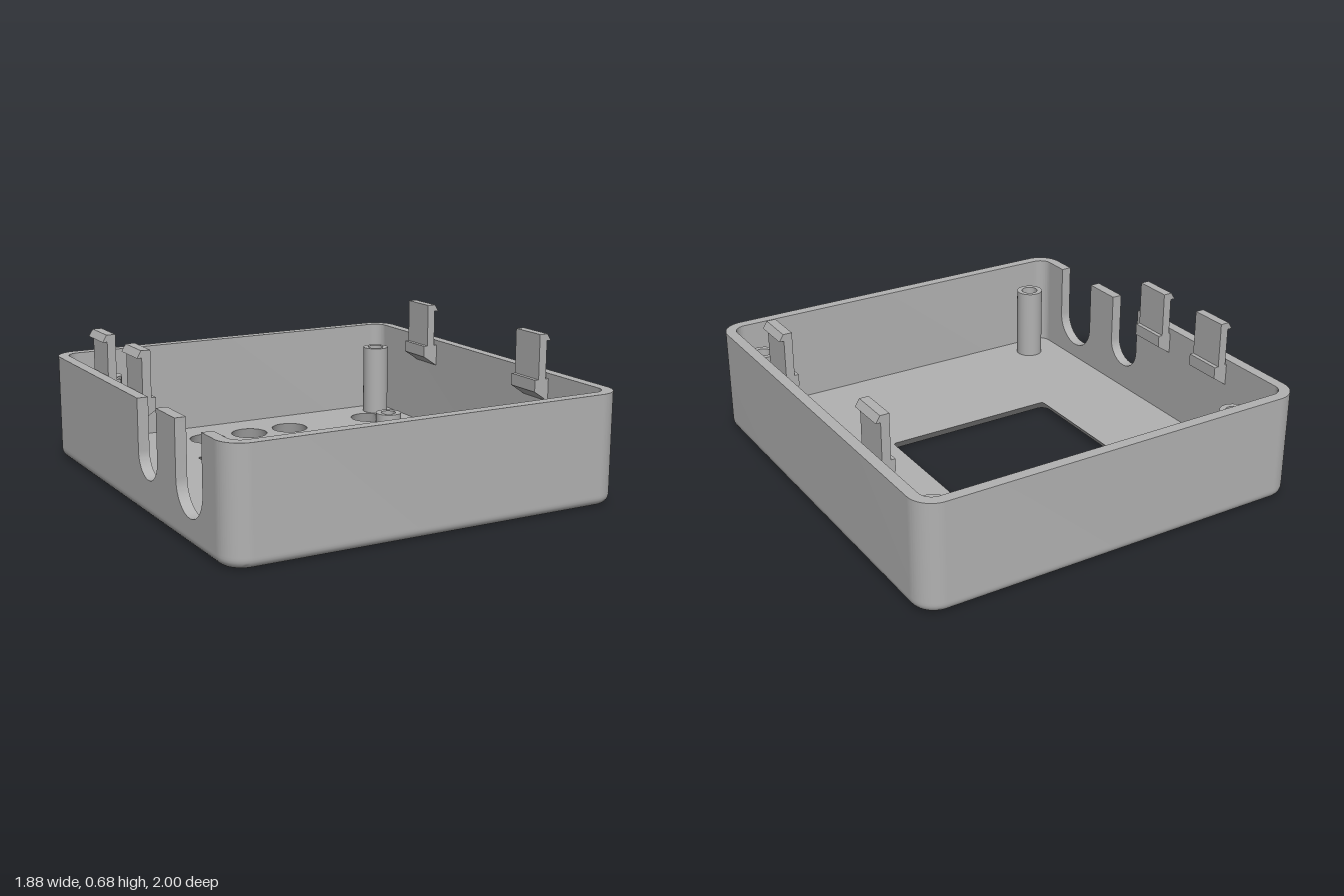
import * as THREE from 'three';
import { toCreasedNormals, mergeGeometries } from 'three/addons/utils/BufferGeometryUtils.js';

const HX = 0.94, HZ = 1, R = 0.11, WALL = 0.05, FLOOR = 0.05, TOP = 0.5;

// rounded rectangle outline in (x, z)
function roundRect(hx, hz, r, cx = 0, cz = 0, n = 10) {
  const pts = [];
  [[1, 1], [-1, 1], [-1, -1], [1, -1]].forEach(([sx, sz], k) => {
    for (let i = 0; i <= n; i++) {
      const a = (k + i / n) * Math.PI / 2;
      pts.push(new THREE.Vector2(cx + sx * (hx - r) + r * Math.cos(a), cz + sz * (hz - r) + r * Math.sin(a)));
    }
  });
  return pts;
}

// circle outline, optionally cut flat at xMax
function circle(cx, cz, r, xMax = 9, n = 40) {
  return Array.from({ length: n }, (_, i) => {
    const a = i / n * Math.PI * 2;
    return new THREE.Vector2(Math.min(cx + r * Math.cos(a), xMax), cz + r * Math.sin(a));
  });
}

// skin between outlines at given heights; rising heights face outward
function loft(loops) {
  const pos = [], idx = [], n = loops[0].pts.length;
  loops.forEach(({ pts, y }) => pts.forEach(p => pos.push(p.x, y, p.y)));
  for (let k = 0; k + 1 < loops.length; k++) for (let i = 0; i < n; i++) {
    const a = k * n + i, b = k * n + (i + 1) % n;
    idx.push(a, a + n, b, b, a + n, b + n);
  }
  const g = new THREE.BufferGeometry();
  g.setAttribute('position', new THREE.Float32BufferAttribute(pos, 3));
  g.setIndex(idx);
  return toCreasedNormals(g, 0.6);
}

// flat sheet with holes, facing up or down
function sheet(outline, holes, y, up) {
  const s = new THREE.Shape(outline);
  s.holes = holes.map(h => new THREE.Path(h));
  const g = new THREE.ShapeGeometry(s).rotateX(Math.PI / 2).translate(0, y, 0);
  if (up) g.index.array.reverse();
  const flat = g.toNonIndexed();
  flat.deleteAttribute('uv');
  flat.computeVertexNormals();
  return flat;
}

function extrude(shape, depth) {
  return toCreasedNormals(new THREE.ExtrudeGeometry(shape, { depth, bevelEnabled: false, curveSegments: 20 }), 0.6);
}

export function createModel() {
  const model = new THREE.Group();
  const grey = new THREE.MeshStandardMaterial({ color: 0xb2b2b2 });
  grey.name = 'grey plastic';
  const add = (name, geo) => {
    const m = new THREE.Mesh(geo, grey);
    m.name = name;
    model.add(m);
    return m;
  };

  // openings in the floor: outline above and wider outline below
  const openings = [{
    top: roundRect(0.42, 0.337, 0.015, -0.02, -0.072, 4),
    low: roundRect(0.46, 0.377, 0.045, -0.02, -0.072, 4),
  }];
  [[-0.25, -0.71], [-0.02, -0.71], [0.21, -0.71], [0.68, -0.71], [0.68, -0.305], [0.68, -0.07]].forEach(([x, z]) =>
    openings.push({ top: circle(x, z, 0.09, 0.75), low: circle(x, z, 0.106) }));
  openings.push({ top: circle(0.68, -0.505, 0.037), low: circle(0.68, -0.505, 0.037) });

  // floor with rounded lower edge
  const skirt = [];
  const F = 0.04;
  for (let i = 0; i <= 6; i++) {
    const a = i / 6 * Math.PI / 2, inset = F * (1 - Math.sin(a));
    skirt.push({ pts: roundRect(HX - inset, HZ - inset, R - inset), y: F * (1 - Math.cos(a)) });
  }
  skirt.push({ pts: roundRect(HX, HZ, R), y: FLOOR });
  add('floor', mergeGeometries([
    loft(skirt),
    sheet(skirt[0].pts, openings.map(o => o.low), 0, false),
    sheet(roundRect(HX, HZ, R), openings.map(o => o.top), FLOOR, true),
    ...openings.map(o => loft([{ pts: o.top, y: FLOOR }, { pts: o.low, y: 0 }])),
  ]));

  // walls on three sides, wrapping round all four corners
  const zc = HZ - R, xi = HX - WALL, zi = HZ - WALL, ri = R - WALL, c = HX - R;
  const wrap = new THREE.Shape();
  wrap.moveTo(-HX, -zc);
  wrap.absarc(-c, -zc, R, Math.PI, Math.PI * 1.5, false);
  wrap.absarc(c, -zc, R, -Math.PI / 2, 0, false);
  wrap.absarc(c, zc, R, 0, Math.PI / 2, false);
  wrap.absarc(-c, zc, R, Math.PI / 2, Math.PI, false);
  wrap.lineTo(-xi, zc);
  wrap.absarc(-c, zc, ri, Math.PI, Math.PI / 2, true);
  wrap.absarc(c, zc, ri, Math.PI / 2, 0, true);
  wrap.absarc(c, -zc, ri, 0, -Math.PI / 2, true);
  wrap.absarc(-c, -zc, ri, Math.PI * 1.5, Math.PI, true);
  add('walls', extrude(wrap, TOP - FLOOR).rotateX(Math.PI / 2).translate(0, TOP, 0));

  // side wall with two U-shaped cable slots
  const side = new THREE.Shape();
  side.moveTo(-zc, FLOOR);
  side.lineTo(-zc, TOP);
  [[0.213, 0.103, 0.27], [0.64, 0.13, 0.25]].forEach(([z, r, y]) => {
    side.lineTo(z - r, TOP);
    side.lineTo(z - r, y);
    side.absarc(z, y, r, Math.PI, Math.PI * 2, false);
    side.lineTo(z + r, TOP);
  });
  side.lineTo(zc, TOP);
  side.lineTo(zc, FLOOR);
  add('slottedWall', extrude(side, WALL).rotateY(-Math.PI / 2).translate(-xi, 0, 0));

  // hollow screw posts: outer side, rim, bore and, if blind, a bore floor
  const post = (name, x, z, top, bore, bottom, blind) => {
    const p = [[0.065, FLOOR], [0.065, top], [bore, top], [bore, bottom]];
    if (blind) p.push([0, bottom]);
    const g = new THREE.LatheGeometry(p.map(q => new THREE.Vector2(...q)), 32);
    add(name, toCreasedNormals(g, 0.6)).position.set(x, 0, z);
  };
  for (const x of [-0.72, 0.795]) for (const z of [-0.83, 0.825]) post('cornerPost', x, z, 0.4, 0.04, 0.06, true);
  post('buttonPost', 0.68, -0.505, 0.12, 0.037, FLOOR, false);

  // snap clips: ledge on the wall, stem and outward hook
  const profile = [[0.89, 0.37], [0.815, 0.42], [0.815, 0.475], [0.835, 0.475], [0.835, 0.684],
    [0.877, 0.684], [0.897, 0.652], [0.875, 0.652], [0.875, 0.475], [0.89, 0.475]];
  [[1, -0.475], [1, 0.45], [-1, -0.475], [-1, -0.06]].forEach(([s, z]) => {
    const shape = new THREE.Shape(profile.map(([x, y]) => new THREE.Vector2(s * x - (s < 0 ? 0.007 : 0), y)));
    add('snapClip', extrude(shape, 0.18)).position.z = z - 0.09;
  });

  return model;
}
